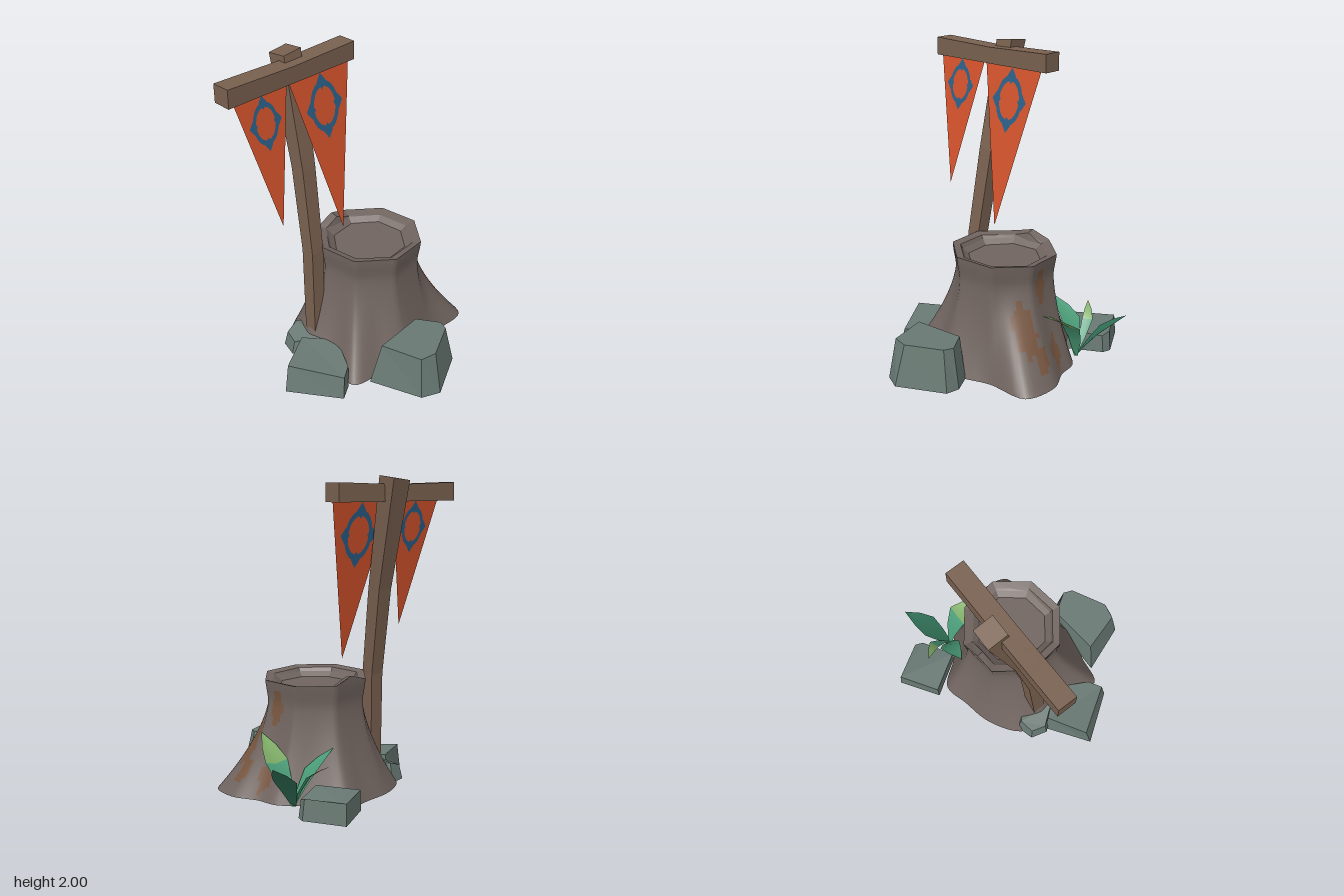
import * as THREE from 'three';

const mat = (name, color, extra = {}) => {
  const m = new THREE.MeshStandardMaterial({ color, ...extra });
  m.name = name;
  return m;
};

// Flat-sided solid through rings of [x, y, z] points, optionally capped
function loft(rings, capBottom = true) {
  const r0 = rings[0], n = r0.length, out = [];
  let area = 0;
  r0.forEach((p, i) => { const q = r0[(i + 1) % n]; area += p[0] * q[2] - q[0] * p[2]; });
  if (area < 0) rings = rings.map((r) => [...r].reverse());
  for (let k = 0; k < rings.length - 1; k++) {
    for (let i = 0; i < n; i++) {
      const j = (i + 1) % n;
      const a = rings[k][i], b = rings[k][j], c = rings[k + 1][j], d = rings[k + 1][i];
      out.push(...a, ...d, ...c, ...a, ...c, ...b);
    }
  }
  const top = rings[rings.length - 1], bot = rings[0];
  for (let i = 1; i < n - 1; i++) {
    out.push(...top[0], ...top[i + 1], ...top[i]);
    if (capBottom) out.push(...bot[0], ...bot[i], ...bot[i + 1]);
  }
  const g = new THREE.BufferGeometry();
  g.setAttribute('position', new THREE.Float32BufferAttribute(out, 3));
  g.computeVertexNormals();
  return g;
}

// Stump outline: octagonal neck blended into a root-shaped foot
const CX = 0.06, CZ = 0.02;
const FOOT = new THREE.CatmullRomCurve3([
  [.50, 0], [.47, .16], [.42, .36], [.27, .48], [.13, .63], [-.04, .5], [-.28, .42], [-.4, .28],
  [-.42, .05], [-.36, -.15], [-.30, -.32], [-.1, -.36], [.12, -.44], [.27, -.40], [.45, -.39], [.62, -.25],
].map(([x, z]) => new THREE.Vector3(x, 0, z)), true, 'centripetal');

function octagon(u, r) {
  const th = u * Math.PI / 8, e = Math.PI / 4;
  const k = Math.cos(e / 2) / Math.cos((th % e) - e / 2);
  return [CX + r * k * Math.cos(th), CZ + r * k * Math.sin(th)];
}
const rimY = (u) => 0.76 + 0.035 * octagon(u, 0.335)[1] + 0.04 * Math.max(0, 1 - Math.abs(u - 9));

function stumpPoint(u, s) {
  const y = 0.04 + s * (rimY(u) - 0.04);
  const w = Math.pow(Math.max(0, 1 - (y - 0.04) / 0.6), 1.6);
  const flare = s === 1 ? 0.335 : 0.315 + 0.02 * THREE.MathUtils.smoothstep(y, 0.6, 0.77);
  const [nx, nz] = octagon(u, flare);
  const f = FOOT.getPoint((u / 16) % 1);
  return [nx + (f.x - nx) * w, y, nz + (f.z - nz) * w];
}

// Bark shell, open below, with reddish patches as a second face group
function barkGeometry() {
  const C = 96, R = 26, pos = [], plain = [], stained = [];
  const spots = [[14.6, .38, .5, .15], [14.1, .2, .3, .08], [13.3, .6, .35, .12], [13, .18, .25, .1]];
  for (let k = 0; k <= R; k++) for (let i = 0; i < C; i++) pos.push(...stumpPoint(i * 16 / C, k / R));
  for (let k = 0; k < R; k++) {
    for (let i = 0; i < C; i++) {
      const j = (i + 1) % C, u = (i + .5) * 16 / C, y = .04 + (k + .5) / R * .72;
      const hit = spots.some(([su, sy, ru, ry]) =>
        ((u - su) / ru) ** 2 + ((y - sy) / ry) ** 2 < 1 + .3 * Math.sin(u * 9 + y * 40));
      const a = k * C + i, b = k * C + j, c = b + C, d = a + C;
      (hit ? stained : plain).push(a, d, c, a, c, b);
    }
  }
  const g = new THREE.BufferGeometry();
  g.setAttribute('position', new THREE.Float32BufferAttribute(pos, 3));
  g.setIndex([...plain, ...stained]);
  g.addGroup(0, plain.length, 0);
  g.addGroup(plain.length, stained.length, 1);
  g.computeVertexNormals();
  return g;
}

// Folded leaf along a curve; the outer part takes the second material
function leafGeometry(base, mid, tip, halfWidth) {
  const curve = new THREE.CatmullRomCurve3([base, mid, tip].map((p) => new THREE.Vector3(...p)));
  const side = new THREE.Vector3(tip[2] - base[2], 0, base[0] - tip[0]).normalize();
  const widths = [.2, .65, 1, .65, 0], pos = [], idx = [];
  widths.forEach((w, k) => {
    const c = curve.getPoint(k / 4);
    for (const s of [-1, 0, 1]) {
      const p = c.clone().addScaledVector(side, s * w * halfWidth);
      pos.push(p.x, p.y - (s === 0 ? .2 * w * halfWidth : 0), p.z);
    }
  });
  for (let k = 0; k < 4; k++) for (const s of [0, 1]) {
    const a = k * 3 + s;
    idx.push(a, a + 1, a + 4, a, a + 4, a + 3);
  }
  const g = new THREE.BufferGeometry();
  g.setAttribute('position', new THREE.Float32BufferAttribute(pos, 3));
  g.setIndex(idx);
  g.addGroup(0, 24, 0);
  g.addGroup(24, 24, 1);
  g.computeVertexNormals();
  return g;
}

// Ring with four diamonds, in banner units
function emblemShapes() {
  const ring = new THREE.Shape().absellipse(0, -.22, .46, .155, 0, Math.PI * 2);
  ring.holes.push(new THREE.Path().absellipse(0, -.22, .35, .118, 0, Math.PI * 2));
  const diamonds = [[-.45, 0], [.45, 0], [0, -.15], [0, .15]].map(([x, y]) => new THREE.Shape(
    [[-.15, 0], [0, -.05], [.15, 0], [0, .05]].map(([a, b]) => new THREE.Vector2(x + a, y - .22 + b))));
  return [ring, ...diamonds];
}

export function createModel() {
  const model = new THREE.Group();
  const DS = { side: THREE.DoubleSide };
  const bark = mat('bark', 0x70645f, DS);
  const stain = mat('barkStain', 0x775640, DS);
  const wood = mat('wood', 0x78604f);
  const stone = mat('stone', 0x687872);
  const cloth = mat('cloth', 0xd2522c, DS);
  const blue = mat('emblemBlue', 0x2a5f86, DS);
  const darkLeaf = mat('darkLeaf', 0x327359, DS);
  const green = mat('leafGreen', 0x4a9c78, DS);
  const lime = mat('leafLime', 0x7dab66, DS);
  const add = (name, geo, material, parent = model) => {
    const m = new THREE.Mesh(geo, material);
    m.name = name;
    parent.add(m);
    return m;
  };

  // Stump with a sunken cut top
  add('stumpBark', barkGeometry(), [bark, stain]);
  const lid = [[.335, 0], [.285, -.012], [.27, -.03], [.232, -.06]].map(([r, dy], k) =>
    Array.from({ length: 16 }, (_, u) => {
      const [x, z] = octagon(u, r);
      return [x, (k < 2 ? rimY(u) : .765) + dy, z];
    }));
  add('stumpTop', loft(lid, false), bark);

  // Rocks: foot outline and top outline of [x, z], with heights
  const rock = (name, foot, top, y0, y1) => add(name, loft([
    foot.map(([x, z]) => [x, y0, z]), top.map(([x, z, drop = 0]) => [x, y1 - drop, z])]), stone);
  rock('rightRock',
    [[.22, .57], [.56, .625], [.66, .55], [.67, .22], [.6, .165], [.46, .165]],
    [[.28, .52], [.54, .58], [.61, .5], [.62, .25], [.58, .2], [.42, .21]], .04, .3);
  rock('frontRock',
    [[-.27, .755], [.095, .72], [.09, .6], [-.05, .39], [-.3, .43]],
    [[-.265, .71], [.09, .69, .03], [.085, .59, .02], [-.05, .39], [-.27, .43]], 0, .17);
  rock('smallRock',
    [[-.38, .25], [-.28, .22], [-.15, .3], [-.15, .42], [-.33, .45], [-.41, .37]],
    [[-.36, .27], [-.28, .24], [-.16, .3], [-.16, .41], [-.32, .43, .04], [-.39, .36, .03]], .04, .165);
  rock('backRock',
    [[-.38, -.345], [-.09, -.36], [-.09, -.6], [-.13, -.64], [-.4, -.635]],
    [[-.38, -.35], [-.1, -.36], [-.1, -.59, .02], [-.14, -.63], [-.395, -.625]], .04, .17);

  // Leaning, slightly bent post
  const turn = 1.06;
  const post = [[.04, -.21, .325, .085], [.75, -.232, .27, .09], [1.3, -.3, .2, .1], [1.985, -.425, .095, .13]]
    .map(([y, x, z, s], k) => [0, 1, 2, 3].map((i) => {
      const a = -turn + Math.PI / 4 + i * Math.PI / 2, r = s * Math.SQRT1_2;
      return [x + r * Math.cos(a), y + (k === 3 ? .015 * Math.cos(i * Math.PI / 2) : 0), z + r * Math.sin(a)];
    }));
  add('post', loft(post), wood);

  // Crossbar, sagging a little in the middle
  const barGeo = new THREE.BoxGeometry(.95, .115, .12, 4, 1, 1);
  const bp = barGeo.attributes.position;
  for (let i = 0; i < bp.count; i++) {
    if (bp.getY(i) > 0) bp.setY(i, bp.getY(i) - .012 * (1 - Math.abs(bp.getX(i)) / .475));
  }
  barGeo.computeVertexNormals();
  const bar = add('crossbar', barGeo, wood);
  bar.position.set(-.382, 1.9, .185);
  bar.rotation.y = turn;

  // Two pennants with an emblem on both faces
  const tri = new THREE.Shape([[-1, 0], [0, -1], [1, 0]].map((p) => new THREE.Vector2(...p)));
  const pennant = (name, left, right, tip) => {
    const [l, r, t] = [left, right, tip].map((p) => new THREE.Vector3(...p));
    const mid = l.clone().add(r).multiplyScalar(.5);
    const X = r.clone().sub(mid), Y = mid.clone().sub(t);
    const Z = X.clone().cross(Y).normalize();
    const M = new THREE.Matrix4().makeBasis(X, Y, Z).setPosition(mid);
    const group = new THREE.Group();
    group.name = name;
    add('cloth', new THREE.ShapeGeometry(tri).applyMatrix4(M), cloth, group);
    for (const s of [-1, 1]) {
      const g = new THREE.ShapeGeometry(emblemShapes(), 12).translate(0, 0, s * .004);
      add('emblem', g.applyMatrix4(M), blue, group);
    }
    model.add(group);
  };
  pennant('largePennant', [-.36, 1.86, .24], [-.128, 1.86, -.17], [-.08, .855, .12]);
  pennant('smallPennant', [-.555, 1.86, .59], [-.365, 1.86, .25], [-.335, 1.04, .485]);

  // Plant behind the stump
  const root = [.01, .05, -.44];
  [
    ['backLeaf', [.005, .24, -.58], [0, .36, -.755], .075, darkLeaf, darkLeaf],
    ['sideLeaf', [-.11, .26, -.49], [-.24, .33, -.47], .035, green, lime],
    ['frontLeaf', [-.07, .26, -.39], [-.17, .38, -.25], .07, green, green],
    ['tallLeaf', [.13, .31, -.42], [.3, .435, -.27], .08, green, lime],
  ].forEach(([name, mid, tip, w, m1, m2]) => add(name, leafGeometry(root, mid, tip, w), [m1, m2]));

  return model;
}
